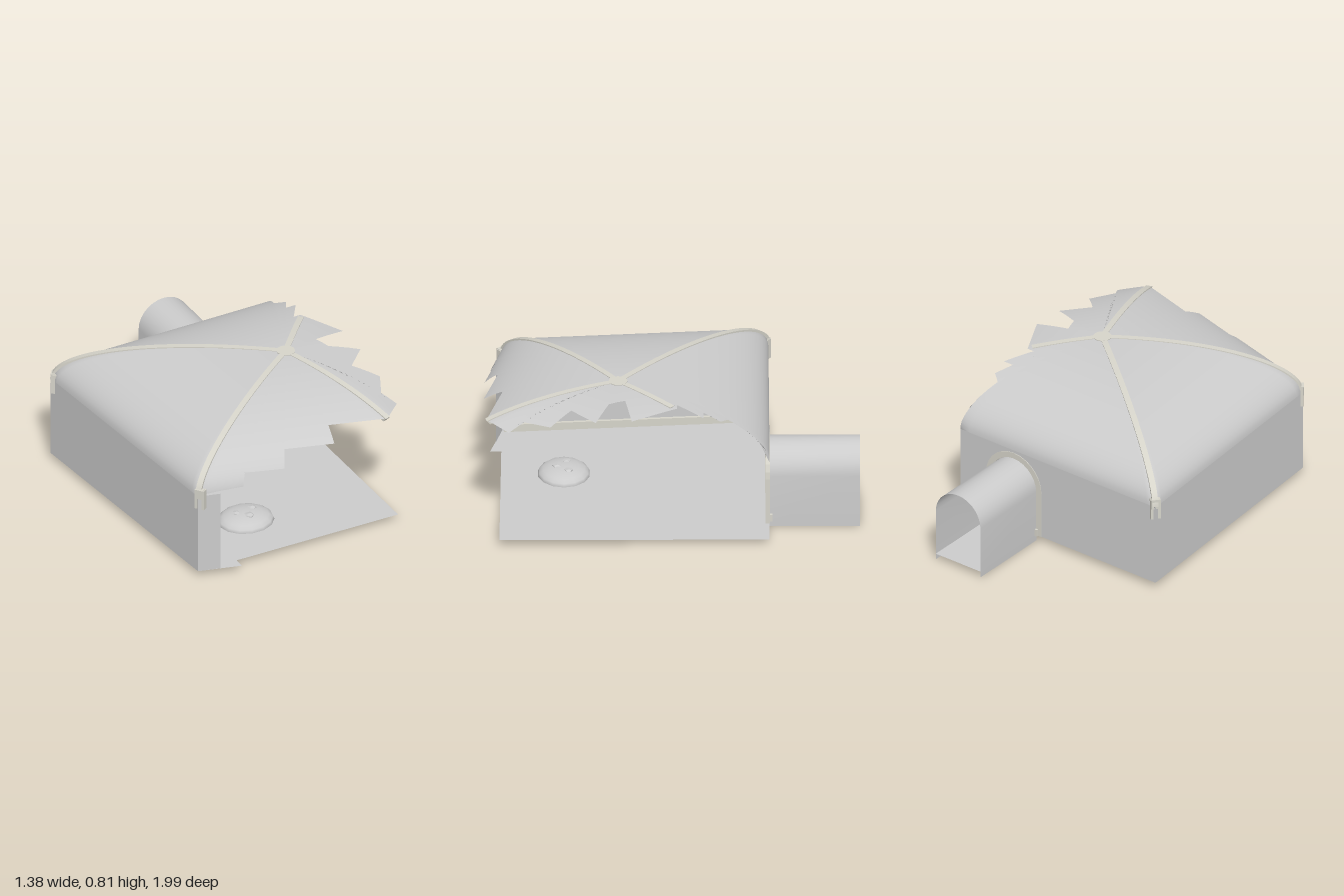
import * as THREE from 'three';
import { toCreasedNormals } from 'three/addons/utils/BufferGeometryUtils.js';

const FLOOR = 0.035, WALL_TOP = 0.5, RISE = 0.312;
const APEX = [0.3, 0.28];
const BL = [-0.68, -0.52], FL = [-0.57, 0.89];
// Full plan of the vault; the right and front are broken away
const PLAN = [BL, FL, [0.62, 1.21], [1.22, 0.3], [1.0, -0.52]];

const grey = new THREE.MeshStandardMaterial({ color: 0xcccccc, side: THREE.DoubleSide });
const trim = new THREE.MeshStandardMaterial({ color: 0xd6d4ca, side: THREE.DoubleSide });

function add(group, name, geometry, material = grey) {
  const mesh = new THREE.Mesh(geometry, material);
  mesh.name = name;
  group.add(mesh);
  return mesh;
}

function meshFrom(positions, index) {
  const g = new THREE.BufferGeometry();
  g.setAttribute('position', new THREE.Float32BufferAttribute(positions, 3));
  g.setIndex(index);
  g.computeVertexNormals();
  return g;
}

// Vault height: elliptical rise over nested copies of the plan
function vaultY(x, z) {
  const px = x - APEX[0], pz = z - APEX[1];
  let r = 0;
  PLAN.forEach((a, i) => {
    const b = PLAN[(i + 1) % PLAN.length];
    const dx = b[0] - a[0], dz = b[1] - a[1];
    r = Math.max(r, (dx * pz - dz * px) / (dx * (a[1] - APEX[1]) - dz * (a[0] - APEX[0])));
  });
  return WALL_TOP + RISE * Math.sqrt(Math.max(0, 1 - r * r));
}

// Roof skin: rings from the apex out to the torn outline
function roofGeometry() {
  const outline = [
    BL, FL, [-0.33, 0.952], [-0.31, 0.925], [-0.1, 0.985], [-0.06, 0.915], [0.2, 0.99], [0.22, 0.89],
    [0.53, 0.98], [0.65, 0.86], [0.59, 0.8], [0.67, 0.64], [0.56, 0.53], [0.685, 0.4], [0.53, 0.33],
    [0.5, 0.24], [0.685, 0.21], [0.56, -0.03], [0.52, -0.03], [0.61, -0.17], [0.55, -0.17],
    [0.6, -0.26], [0.55, -0.3], [0.63, -0.52],
  ];
  const rim = [];
  outline.forEach((a, i) => {
    const b = outline[(i + 1) % outline.length];
    const n = Math.ceil(Math.hypot(b[0] - a[0], b[1] - a[1]) / 0.06);
    for (let k = 0; k < n; k++) rim.push([a[0] + (b[0] - a[0]) * k / n, a[1] + (b[1] - a[1]) * k / n]);
  });
  const rings = 22, m = rim.length;
  const pos = [APEX[0], vaultY(...APEX), APEX[1]], index = [];
  for (let i = 1; i <= rings; i++) {
    const k = Math.sin(i / rings * Math.PI / 2);
    rim.forEach((o, j) => {
      const x = APEX[0] + (o[0] - APEX[0]) * k, z = APEX[1] + (o[1] - APEX[1]) * k;
      pos.push(x, vaultY(x, z), z);
      const c = 1 + (i - 1) * m + j, d = 1 + (i - 1) * m + (j + 1) % m;
      if (i === 1) index.push(0, c, d);
      else index.push(c - m, c, d, c - m, d, d - m);
    });
  }
  return meshFrom(pos, index);
}

// Rib: rectangular section swept from the apex down a ridge
function ribGeometry(end) {
  const dx = end[0] - APEX[0], dz = end[1] - APEX[1], l = Math.hypot(dx, dz);
  const sx = -dz / l * 0.016, sz = dx / l * 0.016, n = 24, pos = [], index = [];
  for (let i = 0; i <= n; i++) {
    const k = Math.sin(i / n * Math.PI / 2);
    const y = vaultY(APEX[0] + dx * k, APEX[1] + dz * k);
    for (const [s, inset, drop] of [[-1, 1, -0.003], [1, 1, -0.003], [1, 0.975, 0.02], [-1, 0.975, 0.02]]) {
      pos.push(APEX[0] + dx * k * inset + sx * s, y - drop, APEX[1] + dz * k * inset + sz * s);
    }
    if (i === n) break;
    for (let c = 0; c < 4; c++) {
      const a = i * 4 + c, b = i * 4 + (c + 1) % 4;
      index.push(a, b, b + 4, a, b + 4, a + 4);
    }
  }
  const e = n * 4;
  index.push(e, e + 1, e + 2, e, e + 2, e + 3);
  return toCreasedNormals(meshFrom(pos, index), 0.6);
}

// Upright box or sheet running between two plan points
function along(group, name, a, b, y0, y1, thick, material) {
  const l = Math.hypot(b[0] - a[0], b[1] - a[1]);
  const g = thick ? new THREE.BoxGeometry(l, y1 - y0, thick) : new THREE.PlaneGeometry(l, y1 - y0);
  const mesh = add(group, name, g, material);
  mesh.position.set((a[0] + b[0]) / 2, (y0 + y1) / 2, (a[1] + b[1]) / 2);
  mesh.rotation.y = -Math.atan2(b[1] - a[1], b[0] - a[0]);
}

// Arch outline, from right foot over the top to left foot
function archPoints(radius, base) {
  const pts = [new THREE.Vector2(0.27 + radius, base)];
  for (let i = 0; i <= 14; i++) {
    const t = i / 14 * Math.PI;
    pts.push(new THREE.Vector2(0.27 + radius * Math.cos(t), 0.3 + radius * Math.sin(t)));
  }
  pts.push(new THREE.Vector2(0.27 - radius, base));
  return pts;
}

export function createModel() {
  const model = new THREE.Group();
  model.name = 'ruinedVaultedRoom';
  const V = (x, y) => new THREE.Vector2(x, y);

  // Floor with its broken front edge
  const floorPts = [BL, [0.63, -0.52], [0.63, 0.91], [-0.34, 0.895], [-0.34, 0.955], FL];
  const floor = new THREE.ShapeGeometry(new THREE.Shape(floorPts.map(([x, z]) => V(x, -z))));
  floor.rotateX(-Math.PI / 2).translate(0, FLOOR, 0);
  add(model, 'floor', floor);

  // Walls
  const back = new THREE.Shape([
    V(BL[0], WALL_TOP), V(0.63, WALL_TOP), V(0.63, FLOOR), ...archPoints(0.152, FLOOR), V(BL[0], FLOOR),
  ]);
  add(model, 'backWall', new THREE.ShapeGeometry(back).translate(0, 0, -0.52));
  along(model, 'leftWall', BL, FL, FLOOR, WALL_TOP, 0);
  along(model, 'frontWallStub', FL, [-0.45, 0.922], FLOOR, WALL_TOP, 0);

  // Skirting boards
  along(model, 'backSkirting', [-0.67, -0.511], [0.09, -0.511], FLOOR, 0.078, 0.016, trim);
  along(model, 'sideSkirting', [-0.671, -0.51], [-0.562, 0.88], FLOOR, 0.078, 0.016, trim);

  // Door surround
  const surround = new THREE.Shape([...archPoints(0.185, FLOOR), ...archPoints(0.152, FLOOR).reverse()]);
  add(model, 'doorFrame', new THREE.ExtrudeGeometry(surround, { depth: 0.025, bevelEnabled: false })
    .translate(0, 0, -0.523), trim);
  for (const s of [-1, 1]) {
    add(model, 'doorFrameFoot', new THREE.BoxGeometry(0.022, 0.04, 0.03), trim)
      .position.set(0.27 + s * 0.153, FLOOR + 0.02, -0.52);
  }

  // Entrance tunnel
  const pos = [], index = [];
  archPoints(0.15, 0).forEach((p, i, all) => {
    pos.push(p.x, p.y, -0.52, p.x, p.y, -1);
    if (i < all.length - 1) index.push(2 * i, 2 * i + 1, 2 * i + 3, 2 * i, 2 * i + 3, 2 * i + 2);
  });
  add(model, 'tunnelVault', toCreasedNormals(meshFrom(pos, index), 0.6));
  add(model, 'tunnelFloor', new THREE.PlaneGeometry(0.3, 0.48).rotateX(-Math.PI / 2)
    .translate(0.27, FLOOR, -0.76));

  // Roof, ribs and boss
  add(model, 'roof', roofGeometry());
  [BL, FL, [0.53, 0.98], [0.55, -0.006]].forEach((end) => add(model, 'roofRib', ribGeometry(end), trim));
  add(model, 'roofBoss', new THREE.CylinderGeometry(0.05, 0.045, 0.03, 12), trim)
    .position.set(APEX[0], 0.8, APEX[1]);

  // Corner brackets under the rib feet
  for (const [x, z] of [[-0.663, -0.502], [-0.553, 0.888]]) {
    const bracket = new THREE.Group();
    bracket.name = 'cornerBracket';
    bracket.position.set(x, 0, z);
    bracket.rotation.y = -Math.atan2(APEX[1] - z, APEX[0] - x);
    add(bracket, 'bracketCap', new THREE.BoxGeometry(0.03, 0.055, 0.045), trim).position.set(-0.005, 0.515, 0);
    for (const s of [-1, 1]) {
      add(bracket, 'bracketLeg', new THREE.BoxGeometry(0.034, 0.115, 0.014), trim).position.set(0, 0.482, s * 0.02);
    }
    model.add(bracket);
  }

  // Low mound with loose stones on the floor
  const mound = new THREE.SphereGeometry(1, 14, 5, 0, Math.PI * 2, 0, Math.PI / 2);
  add(model, 'mound', mound.scale(0.155, 0.055, 0.14).translate(-0.1, FLOOR, 0.565));
  for (const [x, z, s] of [[-0.1, 0.6, 0.03], [-0.05, 0.54, 0.025], [-0.15, 0.55, 0.025]]) {
    add(model, 'moundStone', new THREE.DodecahedronGeometry(s).scale(1, 0.4, 1).translate(x, 0.083, z));
  }
  return model;
}
